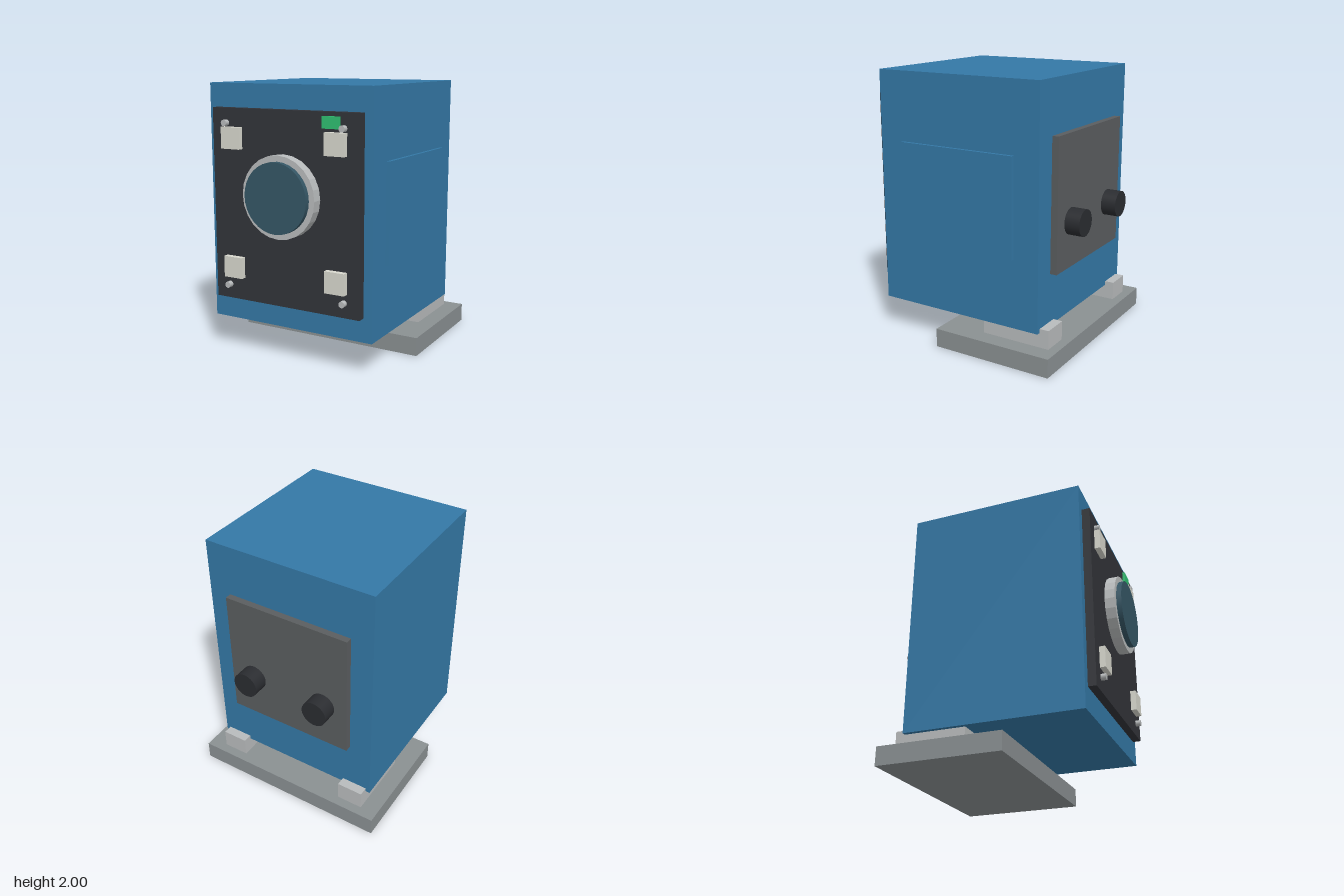
import * as THREE from 'three';

export function createModel() {
  const model = new THREE.Group();
  const mat = (color, flatShading = false) => new THREE.MeshStandardMaterial({ color, flatShading });
  const blue = mat(0x3478a6), black = mat(0x323439), darkGrey = mat(0x5a5d5f);
  const baseGrey = mat(0x8a9092), lightGrey = mat(0xb8bbbc), ivory = mat(0xd8d8ce);
  const steel = mat(0xb8bbbc, true), glass = mat(0x355665), green = mat(0x2fbf71);
  const knobBlack = mat(0x2a2c30);

  const add = (name, geometry, material, x, y, z) => {
    const mesh = new THREE.Mesh(geometry, material);
    mesh.name = name;
    mesh.position.set(x, y, z);
    model.add(mesh);
  };
  // Box given by its extents on each axis
  const box = (name, material, [x0, x1], [y0, y1], [z0, z1]) =>
    add(name, new THREE.BoxGeometry(x1 - x0, y1 - y0, z1 - z0), material,
      (x0 + x1) / 2, (y0 + y1) / 2, (z0 + z1) / 2);
  // Cylinder along z between z0 and z1
  const disc = (name, material, r, sides, x, y, z0, z1) =>
    add(name, new THREE.CylinderGeometry(r, r, z1 - z0, sides).rotateX(Math.PI / 2),
      material, x, y, (z0 + z1) / 2);

  // Housing and its panels
  box('housing', blue, [-0.665, 0.665], [0.25, 2], [-0.67, 0.66]);
  box('sidePanel', blue, [0.665, 0.69], [0.76, 1.49], [-0.475, 0.46]);
  box('frontPlate', black, [-0.6, 0.6], [0.425, 1.828], [0.66, 0.72]);
  box('backPlate', darkGrey, [-0.493, 0.493], [0.64, 1.615], [-0.72, -0.67]);

  // Lens
  disc('lensRing', steel, 0.295, 24, 0, 1.23, 0.72, 0.797);
  disc('lensGlass', glass, 0.252, 32, 0, 1.23, 0.72, 0.835);

  // Status light
  box('statusLight', green, [0.32, 0.45], [1.717, 1.8], [0.72, 0.74]);

  // Base
  box('base', baseGrey, [-0.765, 0.765], [0, 0.14], [-0.81, 0.125]);

  // Mirrored parts: mounting rails, knobs, corner pads and screws
  for (const s of [-1, 1]) {
    const span = (a, b) => (s > 0 ? [a, b] : [-b, -a]);
    box('mountRail', lightGrey, span(0.435, 0.633), [0.14, 0.28], [-0.74, -0.205]);
    disc('knob', knobBlack, 0.098, 32, s * 0.294, 0.985, -0.835, -0.72);
    for (const [padY, screwY] of [[0.672, 0.53], [1.617, 1.722]]) {
      box('cornerPad', ivory, span(0.347, 0.502), [padY - 0.078, padY + 0.078], [0.72, 0.762]);
      disc('screw', lightGrey, 0.023, 16, s * 0.48, screwY, 0.72, 0.758);
    }
  }
  return model;
}
